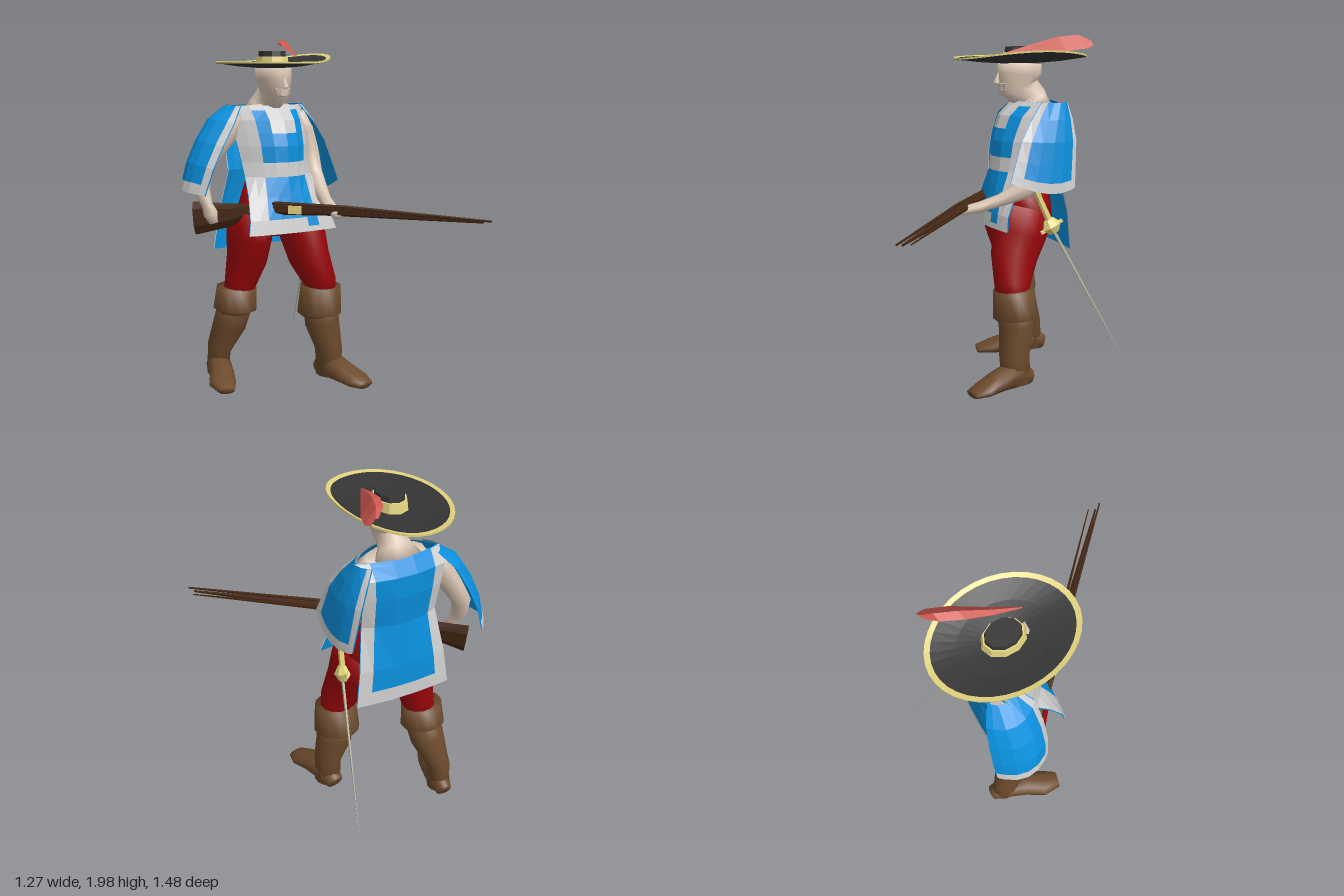
import * as THREE from 'three';

const mat = (name, color) => Object.assign(new THREE.MeshStandardMaterial({ color, side: THREE.DoubleSide }), { name });
const skin = mat('skin', 0xdac6b4), blue = mat('blue cloth', 0x0a90dd), white = mat('white cloth', 0xcfcfcf);
const red = mat('red cloth', 0x980509), leather = mat('brown leather', 0x6c4a2c), wood = mat('dark wood', 0x432614);
const black = mat('black felt', 0x353535), gold = mat('pale gold', 0xe2d47e), plume = mat('plume red', 0xd15a50);
const steel = mat('steel', 0xb4b29c);

// Skin of a row of elliptical sections [x, y, z, radiusA, radiusB], closed at both ends
function loft(name, material, sections, n = 10, flat = false) {
  const P = sections.map(s => new THREE.Vector3(s[0], s[1], s[2])), pos = [], idx = [], m = P.length;
  P.forEach((p, i) => {
    const t = P[Math.min(i + 1, m - 1)].clone().sub(P[Math.max(i - 1, 0)]).normalize();
    const a = new THREE.Vector3(1, 0, 0).addScaledVector(t, -t.x).normalize();
    const b = t.clone().cross(a);
    for (let j = 0; j < n; j++) {
      const w = (j + 0.5) / n * Math.PI * 2;
      pos.push(...p.clone().addScaledVector(a, Math.cos(w) * sections[i][3]).addScaledVector(b, Math.sin(w) * sections[i][4]).toArray());
    }
  });
  pos.push(...P[0].toArray(), ...P[m - 1].toArray());
  for (let j = 0; j < n; j++) {
    const k = (j + 1) % n, e = (m - 1) * n;
    for (let i = 0; i < m - 1; i++) {
      const q = i * n;
      idx.push(q + j, q + k, q + n + j, q + k, q + n + k, q + n + j);
    }
    idx.push(m * n, k, j, m * n + 1, e + j, e + k);
  }
  let g = new THREE.BufferGeometry();
  g.setAttribute('position', new THREE.Float32BufferAttribute(pos, 3));
  g.setIndex(idx);
  if (flat) g = g.toNonIndexed();
  g.computeVertexNormals();
  return Object.assign(new THREE.Mesh(g, material), { name });
}

// Faceted cloth over a grid of u and v breaks; pick(u, v) chooses the colour of each cell
function panel(name, us, vs, f, pick) {
  const cells = new Map();
  for (let i = 0; i < us.length - 1; i++) for (let j = 0; j < vs.length - 1; j++) {
    const c = pick((us[i] + us[i + 1]) / 2, (vs[j] + vs[j + 1]) / 2);
    const [A, B, C, D] = [f(us[i], vs[j]), f(us[i], vs[j + 1]), f(us[i + 1], vs[j + 1]), f(us[i + 1], vs[j])];
    if (!cells.has(c)) cells.set(c, []);
    cells.get(c).push(...A, ...B, ...C, ...A, ...C, ...D);
  }
  const g = new THREE.BufferGeometry(), all = [], mats = [];
  for (const [c, p] of cells) {
    g.addGroup(all.length / 3, p.length / 3, mats.length);
    mats.push(c);
    for (const x of p) all.push(x);
  }
  g.setAttribute('position', new THREE.Float32BufferAttribute(all, 3));
  g.computeVertexNormals();
  return Object.assign(new THREE.Mesh(g, mats), { name });
}

// Panel with a plain blue lining shifted by dx, dz towards the body
function linedPanel(name, us, vs, f, pick, dx, dz) {
  const g = new THREE.Group();
  g.name = name;
  const inner = (u, v) => f(u, v).map((p, k) => p + [dx, 0, dz][k]);
  g.add(panel(name + 'Cloth', us, vs, f, pick), panel(name + 'Lining', us, vs, inner, () => blue));
  return g;
}

// Linear interpolation in rows whose first entry is an ascending key
function sample(rows, t) {
  let i = 0;
  while (i < rows.length - 2 && t > rows[i + 1][0]) i++;
  const k = (t - rows[i][0]) / (rows[i + 1][0] - rows[i][0]);
  return rows[i].slice(1).map((a, j) => a + (rows[i + 1][j + 1] - a) * k);
}
const steps = n => Array.from({ length: n + 1 }, (_, i) => i / n);

// Tabard half from rows [y, xMin, xMax, zCentre, zEdge]
const tabard = rows => (u, y) => {
  const [x0, x1, zc, ze] = sample(rows, y);
  return [x0 + (x1 - x0) * u, y, zc + (ze - zc) * (2 * u - 1) ** 2];
};

// Sleeve cape from rows [v, front xyz, middle xyz, back xyz]; white trim up to u = trim, at the hem and past backTrim
function cape(name, dx, trim, backTrim, rows) {
  const f = (u, v) => {
    const s = sample(rows, v);
    return [0, 1, 2].map(k => s[k] * (1 - u) * (1 - 2 * u) + s[k + 3] * 4 * u * (1 - u) + s[k + 6] * u * (2 * u - 1));
  };
  return linedPanel(name, [0, trim, 0.3, 0.5, 0.7, 0.9, 1], [0, 0.2, 0.45, 0.7, 0.89, 1], f,
    (u, v) => (u < trim || v > 0.89 || u > backTrim ? white : blue), dx, 0);
}

function hat() {
  const g = new THREE.Group();
  g.name = 'hat';
  const around = steps(36), cx = -0.143, cz = -0.274;
  const brim = drop => (u, r) => {
    const w = u * Math.PI * 2, c = Math.cos(w);
    return [cx + 0.297 * r * c, 1.838 + (0.028 + 0.045 * Math.max(0, c) ** 2) * r * r - drop, cz + 0.395 * r * Math.sin(w)];
  };
  g.add(panel('brimTop', around, [0.05, 0.3, 0.6, 0.925, 1], brim(0), (u, r) => (r > 0.925 ? gold : black)));
  g.add(panel('brimUnderside', around, [0, 0.3, 0.6, 1], brim(0.01), () => black));
  g.add(panel('brimEdge', around, [0, 0.01], (u, d) => brim(d)(u, 1), () => gold));
  const drum = (name, m, r0, r1, y0, y1, n) => {
    const c = new THREE.Mesh(new THREE.CylinderGeometry(r1, r0, y1 - y0, n).toNonIndexed(), m);
    c.geometry.computeVertexNormals();
    c.scale.z = 1.3;
    c.position.set(cx, (y0 + y1) / 2, cz);
    c.name = name;
    g.add(c);
  };
  drum('hatBand', gold, 0.092, 0.083, 1.842, 1.894, 10);
  drum('crown', black, 0.081, 0.072, 1.85, 1.922, 10);
  // Plume folded along a ridge, the outer half hanging steeply
  const ribs = [[0, -0.06, 1.89, -0.13, 0.006], [0.3, -0.01, 1.938, -0.28, 0.038], [0.6, 0.045, 1.98, -0.42, 0.062],
    [0.88, 0.085, 1.99, -0.53, 0.058], [1, 0.112, 1.96, -0.585, 0.022]];
  g.add(panel('plume', [-1, -0.6, -0.2, 0.4, 1], [0, 0.15, 0.3, 0.45, 0.6, 0.7, 0.82, 0.88, 1], (u, v) => {
    const [x, y, z, w] = sample(ribs, v);
    return [x + u * w, y - Math.abs(u + 0.2) * w * (u < -0.2 ? 0.3 : 1.05), z - u * w * 0.25];
  }, () => plume));
  return g;
}

function boot(name, shaft, cuff, foot) {
  const g = new THREE.Group();
  g.name = name;
  g.add(loft('bootShaft', leather, shaft, 12), loft('bootCuff', leather, cuff, 12), loft('bootFoot', leather, foot, 10));
  return g;
}

export function createModel() {
  const model = new THREE.Group();
  model.name = 'swordsman';
  const C = -0.14;

  // Body and head
  model.add(loft('torso', skin, [[C, 1.1, -0.27, 0.16, 0.14], [C, 1.25, -0.28, 0.17, 0.14], [C, 1.42, -0.3, 0.21, 0.15],
    [C, 1.54, -0.335, 0.22, 0.12], [C, 1.61, -0.355, 0.17, 0.075]], 14));
  model.add(loft('head', skin, [[C, 1.58, -0.36, 0.15, 0.09], [C, 1.635, -0.345, 0.095, 0.085], [C, 1.67, -0.3, 0.07, 0.1],
    [C, 1.70, -0.262, 0.072, 0.122], [C, 1.77, -0.265, 0.09, 0.135], [C, 1.832, -0.27, 0.092, 0.13]], 12));
  const nose = new THREE.Mesh(new THREE.ConeGeometry(0.02, 0.07, 4), skin);
  nose.position.set(C, 1.755, -0.131);
  nose.rotation.x = -0.2;
  nose.name = 'nose';
  model.add(nose);
  model.add(loft('chin', skin, [[C, 1.66, -0.185, 0.03, 0.03], [C, 1.685, -0.172, 0.042, 0.034], [C, 1.72, -0.17, 0.055, 0.035]], 8, true));
  model.add(hat());

  // Trousers
  model.add(loft('hips', red, [[C, 1.2, -0.285, 0.165, 0.145], [C, 1.08, -0.275, 0.21, 0.165], [C, 0.98, -0.27, 0.25, 0.175],
    [C, 0.89, -0.27, 0.13, 0.13]], 14));
  model.add(loft('leftLeg', red, [[0.0, 1.02, -0.245, 0.12, 0.165], [0.012, 0.88, -0.205, 0.122, 0.16], [0.028, 0.75, -0.16, 0.112, 0.14],
    [0.082, 0.6, -0.125, 0.092, 0.105], [0.092, 0.52, -0.13, 0.085, 0.095]], 12));
  model.add(loft('rightLeg', red, [[-0.28, 1.02, -0.285, 0.12, 0.18], [-0.295, 0.88, -0.29, 0.12, 0.165], [-0.3, 0.75, -0.31, 0.112, 0.135],
    [-0.33, 0.6, -0.338, 0.092, 0.095], [-0.345, 0.52, -0.345, 0.085, 0.09]], 12));

  // Boots
  model.add(boot('leftBoot',
    [[0.09, 0.5, -0.135, 0.105, 0.11], [0.105, 0.36, -0.14, 0.105, 0.1], [0.135, 0.2, -0.115, 0.077, 0.088], [0.142, 0.04, -0.125, 0.074, 0.085]],
    [[0.09, 0.58, -0.13, 0.12, 0.118], [0.088, 0.42, -0.142, 0.132, 0.13], [0.09, 0.405, -0.142, 0.1, 0.1]],
    [[0.135, 0.065, -0.21, 0.05, 0.045], [0.145, 0.1, -0.12, 0.075, 0.085], [0.165, 0.075, 0.0, 0.078, 0.06], [0.19, 0.05, 0.1, 0.085, 0.04],
      [0.205, 0.035, 0.172, 0.055, 0.022]]));
  model.add(boot('rightBoot',
    [[-0.35, 0.5, -0.35, 0.105, 0.1], [-0.37, 0.36, -0.395, 0.1, 0.095], [-0.41, 0.2, -0.46, 0.065, 0.085], [-0.41, 0.04, -0.48, 0.062, 0.075]],
    [[-0.35, 0.58, -0.342, 0.118, 0.116], [-0.357, 0.455, -0.352, 0.128, 0.125], [-0.357, 0.44, -0.354, 0.1, 0.1]],
    [[-0.4, 0.065, -0.56, 0.045, 0.045], [-0.41, 0.1, -0.47, 0.068, 0.085], [-0.45, 0.075, -0.35, 0.072, 0.06], [-0.495, 0.05, -0.25, 0.08, 0.04],
      [-0.515, 0.035, -0.16, 0.05, 0.022]]));

  // Tabard
  const front = [[0.92, -0.41, 0.15, -0.035, -0.06], [1.02, -0.39, 0.12, -0.055, -0.08], [1.12, -0.37, 0.09, -0.075, -0.14],
    [1.25, -0.35, 0.07, -0.1, -0.23], [1.42, -0.37, 0.09, -0.105, -0.28], [1.54, -0.38, 0.1, -0.15, -0.34], [1.62, -0.38, 0.11, -0.235, -0.39]];
  const frontColour = (u, y) => {
    const d = Math.abs(u - 0.5);
    if (y < 1) return y > 0.95 && u > 0.665 && u < 0.8 ? blue : white;
    const cross = (y > 1.23 && y < 1.31) || y > 1.595 || (y > 1.47 && d < 0.165);
    return cross || d > 0.3 ? white : blue;
  };
  model.add(linedPanel('tabardFront', [0, 0.1, 0.2, 0.335, 0.5, 0.665, 0.8, 0.9, 1],
    [0.92, 0.95, 1.0, 1.12, 1.23, 1.31, 1.4, 1.47, 1.54, 1.595, 1.62], tabard(front), frontColour, 0, -0.008));
  const back = [[0.79, -0.43, 0.13, -0.49, -0.47], [1.0, -0.4, 0.11, -0.49, -0.46], [1.25, -0.36, 0.08, -0.47, -0.41],
    [1.42, -0.37, 0.09, -0.49, -0.44], [1.54, -0.38, 0.1, -0.49, -0.45], [1.62, -0.38, 0.11, -0.445, -0.39]];
  model.add(linedPanel('tabardBack', [0, 0.14, 0.38, 0.62, 0.86, 1], [0.79, 0.87, 1.0, 1.25, 1.42, 1.54, 1.6, 1.62], tabard(back),
    (u, y) => (y < 0.87 || Math.abs(u - 0.5) > 0.36 ? white : blue), 0, 0.008));

  // Sleeve capes
  model.add(cape('leftCape', -0.008, 0.13, 0.9, [[0, 0.06, 1.62, -0.31, 0.115, 1.62, -0.4, 0.06, 1.62, -0.47],
    [0.35, 0.13, 1.46, -0.17, 0.178, 1.46, -0.34, 0.12, 1.46, -0.5], [1, 0.175, 1.2, -0.07, 0.203, 1.13, -0.29, 0.165, 1.15, -0.47]]));
  model.add(cape('rightCape', 0.008, 0.1, 1, [[0, -0.33, 1.62, -0.31, -0.375, 1.62, -0.4, -0.33, 1.62, -0.47],
    [0.22, -0.41, 1.52, -0.24, -0.49, 1.54, -0.39, -0.42, 1.52, -0.53],
    [0.6, -0.52, 1.33, -0.24, -0.6, 1.36, -0.39, -0.52, 1.33, -0.56], [1, -0.58, 1.13, -0.27, -0.645, 1.15, -0.42, -0.57, 1.14, -0.565]]));

  // Arms, ending in closed hands
  model.add(loft('leftArm', skin, [[0.05, 1.56, -0.36, 0.06, 0.08], [0.1, 1.46, -0.35, 0.065, 0.085], [0.125, 1.34, -0.32, 0.06, 0.07],
    [0.125, 1.22, -0.27, 0.055, 0.06], [0.11, 1.15, -0.19, 0.05, 0.055], [0.07, 1.09, -0.05, 0.035, 0.035],
    [0.04, 1.055, 0.06, 0.04, 0.03], [0.01, 1.035, 0.17, 0.035, 0.022]], 9));
  model.add(loft('rightArm', skin, [[-0.34, 1.56, -0.36, 0.06, 0.08], [-0.4, 1.47, -0.36, 0.07, 0.085], [-0.47, 1.36, -0.38, 0.06, 0.07],
    [-0.53, 1.25, -0.4, 0.052, 0.06], [-0.545, 1.15, -0.37, 0.045, 0.05], [-0.53, 1.07, -0.34, 0.03, 0.035],
    [-0.515, 1.02, -0.325, 0.042, 0.045], [-0.5, 0.97, -0.32, 0.025, 0.03]], 9));

  // Musket held across the body
  const musket = new THREE.Group();
  musket.name = 'musket';
  const along = (x, y, ra, rb, dz = 0) => [x, y, 0.13 + 0.95 * x + dz, ra, rb];
  musket.add(loft('stock', wood, [along(-0.575, 0.99, 0.028, 0.095), along(-0.42, 1.015, 0.028, 0.065), along(-0.33, 1.05, 0.025, 0.032),
    along(-0.2, 1.06, 0.035, 0.036), along(0.0, 1.055, 0.03, 0.028), along(0.6, 1.018, 0.006, 0.007)], 6, true));
  musket.add(loft('barrel', wood, [along(-0.25, 1.085, 0.016, 0.016, 0.015), along(0.05, 1.075, 0.014, 0.014, 0.02), along(0.62, 1.026, 0.005, 0.006, 0.02)], 6, true));
  musket.add(loft('ramrod', wood, [along(-0.15, 1.06, 0.012, 0.014, -0.02), along(0.05, 1.055, 0.011, 0.012, -0.035), along(0.62, 1.02, 0.003, 0.004, -0.055)], 5, true));
  const lock = new THREE.Mesh(new THREE.BoxGeometry(0.075, 0.045, 0.02), gold);
  lock.position.set(-0.165, 1.058, 0.01);
  lock.rotation.y = -0.76;
  lock.name = 'musketLock';
  musket.add(lock);
  model.add(musket);

  // Rapier at the left hip
  const rapier = new THREE.Group();
  rapier.name = 'rapier';
  rapier.add(loft('grip', gold, [[0.125, 1.13, -0.25, 0.02, 0.024], [0.13, 1.09, -0.268, 0.015, 0.018], [0.145, 0.96, -0.325, 0.015, 0.02]], 6, true));
  rapier.add(loft('guard', gold, [[0.143, 0.975, -0.315, 0.02, 0.03], [0.15, 0.935, -0.335, 0.042, 0.06], [0.155, 0.9, -0.35, 0.02, 0.03]], 7, true));
  rapier.add(loft('crossbar', gold, [[0.15, 0.9, -0.27, 0.012, 0.012], [0.15, 0.965, -0.4, 0.012, 0.012]], 5, true));
  rapier.add(loft('blade', steel, [[0.152, 0.93, -0.335, 0.009, 0.011], [0.2, 0.58, -0.52, 0.006, 0.008], [0.257, 0.17, -0.74, 0.001, 0.001]], 4, true));
  model.add(rapier);
  return model;
}
